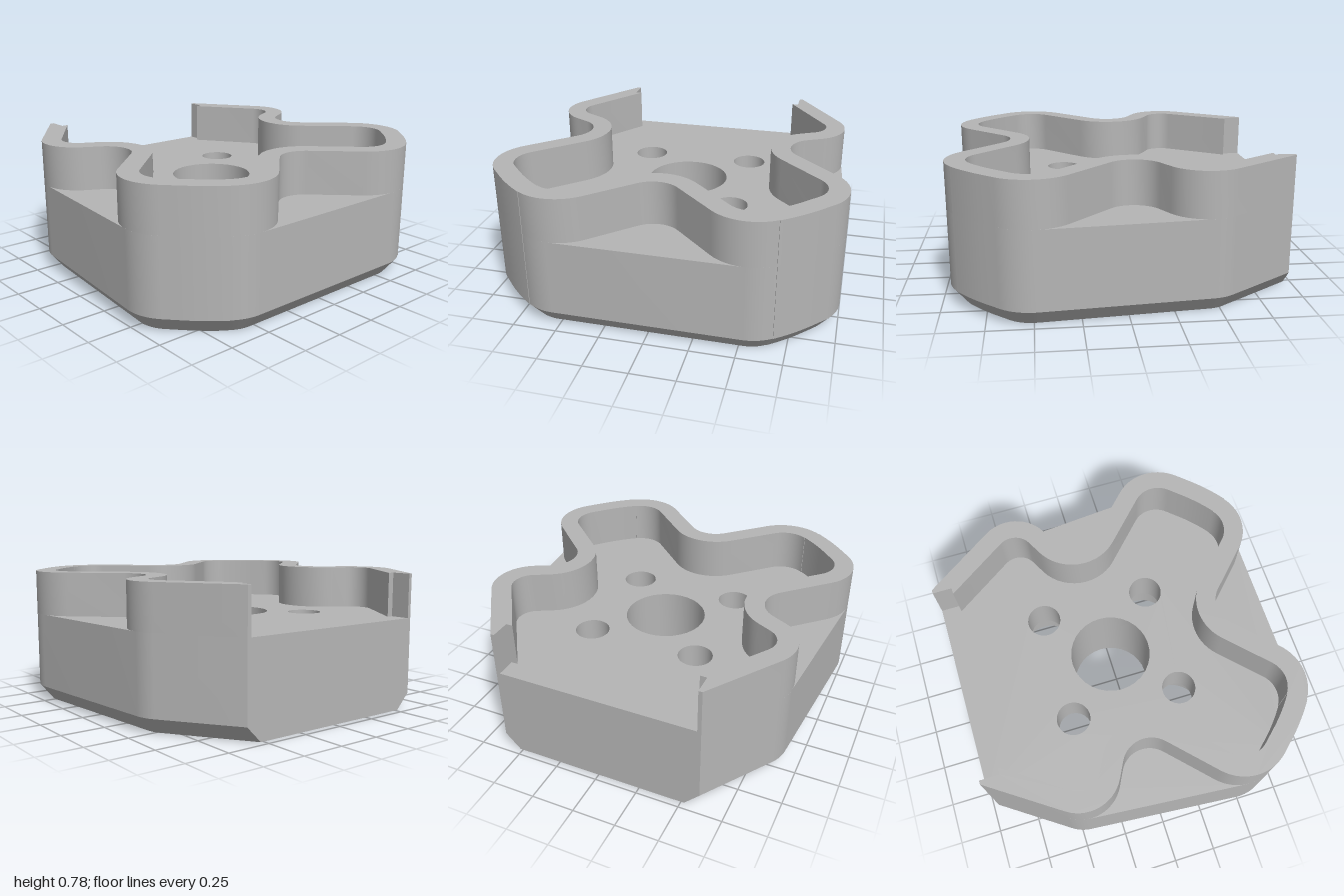
import * as THREE from 'three';
import { mergeGeometries, toCreasedNormals } from 'three/addons/utils/BufferGeometryUtils.js';

const LEDGE = 0.53, TOP = 0.785, CHAMFER = 0.09, BACK = -0.96;

// Guide circles [x, z, radius] for one half; a negative radius curves inwards
const START = [BACK, -0.605, 0];
const REAR = [-0.43, -0.69, 0.23];
const WAIST = [-0.04, -0.785, -0.16];
const LOBE_A = [0.5, -0.735, 0.265];
const LOBE_ARC = [-0.04, 0, 1.172];
const LOBE_B = [0.69, -0.525, 0.27];
const NECK = [0.78, 0, -0.16];

const mirror = (half) => half.slice().reverse().map(([x, z, r]) => [x, -z, r]);

// Belt line around the circles, moved inwards by `inset`, with both ends slid to x = endX
function belt(circles, inset, endX) {
  const normals = [];
  for (let i = 0; i + 1 < circles.length; i++) {
    const [x1, z1, r1] = circles[i], [x2, z2, r2] = circles[i + 1];
    const d = Math.hypot(x2 - x1, z2 - z1);
    const c = THREE.MathUtils.clamp((r1 - r2) / d, -1, 1), s = Math.sqrt(1 - c * c);
    const ux = (x2 - x1) / d, uz = (z2 - z1) / d;
    normals.push(Math.atan2(c * uz - s * ux, c * ux + s * uz));
  }
  const pts = [];
  circles.forEach(([x, z, r], i) => {
    const a = normals[Math.max(i - 1, 0)], b = normals[Math.min(i, normals.length - 1)];
    const sweep = Math.atan2(Math.sin(b - a), Math.cos(b - a));
    const steps = i === 0 || i === circles.length - 1 ? 0 : 14;
    for (let k = 0; k <= steps; k++) {
      const t = a + (steps ? sweep * k / steps : 0);
      pts.push(new THREE.Vector2(x + (r - inset) * Math.cos(t), z + (r - inset) * Math.sin(t)));
    }
  });
  const slide = (p, q) => p.lerp(q, (endX - p.x) / (q.x - p.x));
  slide(pts[0], pts[1]);
  slide(pts[pts.length - 1], pts[pts.length - 2]);
  return pts;
}

const toShape = (pts) => new THREE.Shape(pts.map((p) => new THREE.Vector2(p.x, -p.y)));

// Side skin joining equal outlines at successive heights
function loft(rings) {
  const pos = [], index = [], n = rings[0].pts.length;
  rings.forEach(({ pts, y }) => pts.forEach((p) => pos.push(p.x, y, p.y)));
  for (let j = 0; j + 1 < rings.length; j++) {
    for (let i = 0; i < n; i++) {
      const a = j * n + i, a2 = j * n + (i + 1) % n;
      index.push(a, a + n, a2 + n, a, a2 + n, a2);
    }
  }
  const g = new THREE.BufferGeometry();
  g.setAttribute('position', new THREE.Float32BufferAttribute(pos, 3));
  g.setIndex(index);
  return toCreasedNormals(g, 0.5);
}

// Flat cap with round holes [x, z, r]
function cap(pts, holes, y, up) {
  const shape = toShape(pts);
  for (const [x, z, r] of holes) {
    const ring = [];
    for (let i = 0; i < 32; i++) {
      const t = i / 32 * Math.PI * 2;
      ring.push(new THREE.Vector2(x + r * Math.cos(t), -z + r * Math.sin(t)));
    }
    shape.holes.push(new THREE.Path(ring));
  }
  const g = new THREE.ShapeGeometry(shape);
  g.rotateX(up ? -Math.PI / 2 : Math.PI / 2).translate(0, y, 0);
  return g.toNonIndexed();
}

export function createModel() {
  const group = new THREE.Group();
  const grey = new THREE.MeshStandardMaterial({ color: 0xb5b5b5 });
  grey.name = 'plain grey';
  const add = (name, geometry) => {
    const mesh = new THREE.Mesh(geometry, grey);
    mesh.name = name;
    group.add(mesh);
    return mesh;
  };

  // Base block, chamfered underneath except along its flat end
  const hullHalf = [START, REAR, LOBE_A, LOBE_ARC, LOBE_B];
  const hull = [...hullHalf, ...mirror(hullHalf)];
  const outline = belt(hull, 0, BACK), foot = belt(hull, 0.072, BACK);
  const bolts = [];
  for (const x of [-0.368, 0.29]) for (const z of [-0.33, 0.33]) bolts.push([x, z]);
  const centre = [-0.039, 0, 0.24];
  const skin = loft([{ pts: foot, y: 0 }, { pts: outline, y: CHAMFER }, { pts: outline, y: LEDGE }]);
  const floor = cap(outline, [centre, ...bolts.map(([x, z]) => [x, z, 0.1])], LEDGE, true);
  const under = cap(foot, [centre, ...bolts.map(([x, z]) => [x, z, 0.188])], 0, false);
  for (const g of [skin, floor, under]) g.deleteAttribute('uv');
  add('base', mergeGeometries([skin, floor, under]));

  // Bore linings, wider below for the bolt heads
  const bore = (name, x, z, profile) => {
    const g = new THREE.LatheGeometry(profile.map(([r, y]) => new THREE.Vector2(r, y)), 32);
    add(name, toCreasedNormals(g, 0.5)).position.set(x, 0, z);
  };
  bore('centreBore', centre[0], 0, [[0.24, LEDGE], [0.24, 0]]);
  for (const [x, z] of bolts) {
    bore('boltHole', x, z, [[0.1, LEDGE], [0.1, 0.3], [0.188, 0.3], [0.188, 0]]);
  }

  // Wavy rim wall with a stepped end on each side of the opening
  const wallHalf = [START, REAR, WAIST, LOBE_A, LOBE_ARC, LOBE_B];
  const path = [...wallHalf, NECK, ...mirror(wallHalf)];
  const lip = -0.845, step = 0.583;
  const ring = [
    ...belt(path, 0, BACK),
    new THREE.Vector2(BACK, step), new THREE.Vector2(lip, step),
    ...belt(path, 0.115, lip).reverse(),
    new THREE.Vector2(lip, -step), new THREE.Vector2(BACK, -step),
  ];
  const wall = new THREE.ExtrudeGeometry(toShape(ring), { depth: TOP - LEDGE, bevelEnabled: false });
  wall.rotateX(-Math.PI / 2).translate(0, LEDGE, 0);
  add('rimWall', toCreasedNormals(wall, 0.5));

  return group;
}
